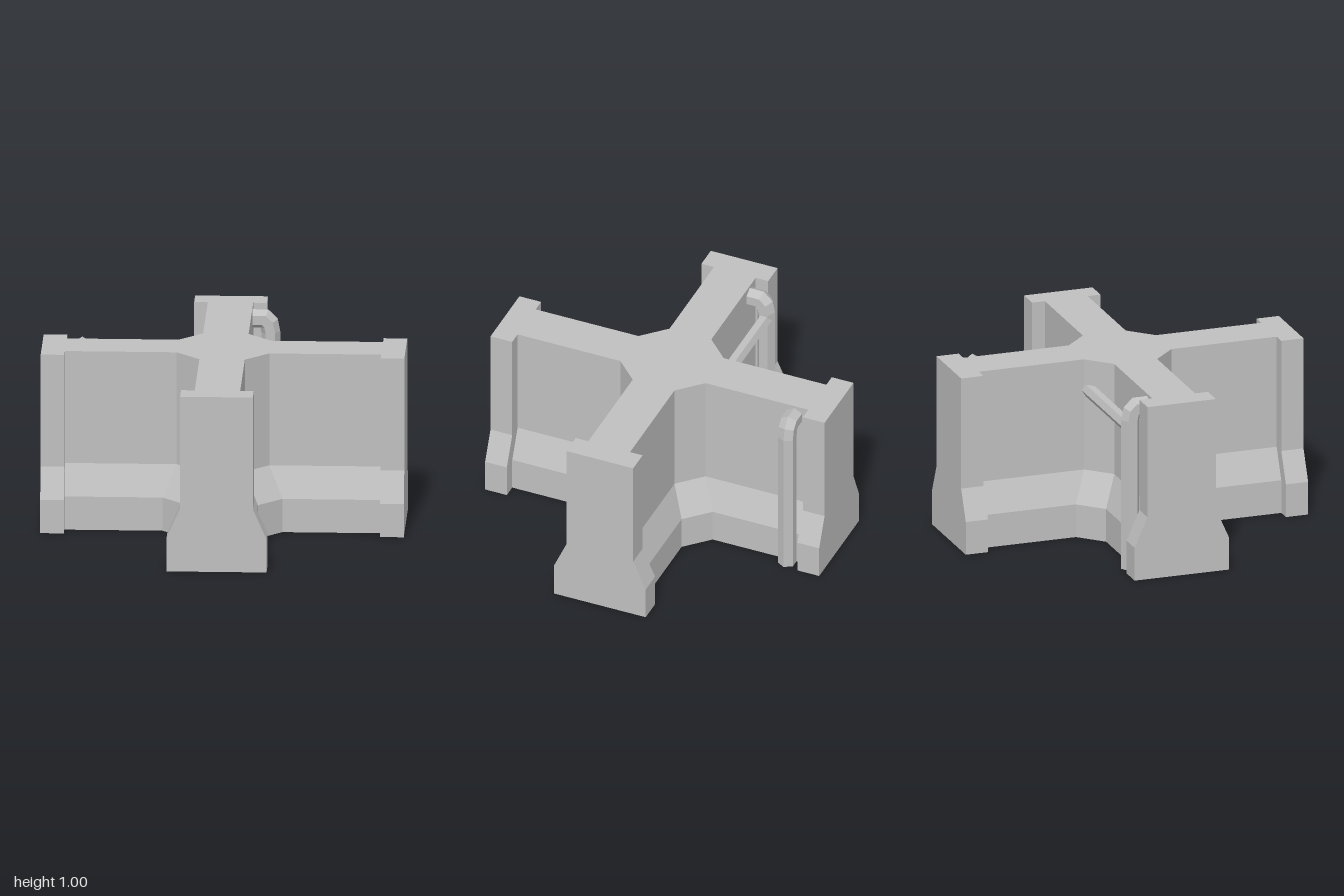
import * as THREE from 'three';

// Flat-shaded solid through matching rings; outline is the counter-clockwise section for the end caps
function loft(rings, outline) {
  const pts = [];
  const n = outline.length;
  for (let i = 0; i < rings.length - 1; i++) {
    for (let j = 0; j < n; j++) {
      const k = (j + 1) % n;
      const a = rings[i], b = rings[i + 1];
      pts.push(a[j], a[k], b[k], a[j], b[k], b[j]);
    }
  }
  const first = rings[0], last = rings[rings.length - 1];
  for (const [p, q, r] of THREE.ShapeUtils.triangulateShape(outline, [])) {
    pts.push(last[p], last[q], last[r], first[r], first[q], first[p]);
  }
  const geometry = new THREE.BufferGeometry().setFromPoints(pts);
  geometry.computeVertexNormals();
  return geometry;
}

// Cross-shaped plan: wall half width w, end post half width p, inner corner chamfer start c
function crossOutline(w, p, c) {
  const quarter = [[1, p], [0.87, p], [0.87, w], [c, w], [w, c], [w, 0.87], [p, 0.87], [p, 1]];
  const out = [];
  for (let q = 0; q < 4; q++) {
    for (const [x, y] of quarter) {
      out.push(new THREE.Vector2(x, y).rotateAround(new THREE.Vector2(), q * Math.PI / 2));
    }
  }
  return out;
}

// Hexagonal pipe leaving the wall along +x and bending down to the ground
function bentPipe(radius, z) {
  const path = [[0.1, 0.935], [0.19, 0.935], [0.215, 0.91], [0.225, 0.86], [0.225, 0]]
    .map(([x, y]) => new THREE.Vector2(x, y));
  const hex = [];
  for (let k = 0; k < 6; k++) {
    hex.push(new THREE.Vector2(Math.cos(k * Math.PI / 3), Math.sin(k * Math.PI / 3)).multiplyScalar(radius));
  }
  const normal = (a, b) => {
    const d = b.clone().sub(a).normalize();
    return new THREE.Vector2(-d.y, d.x);
  };
  const rings = path.map((p, i) => {
    const n0 = normal(path[Math.max(i - 1, 0)], path[Math.max(i, 1)]);
    const n1 = i < path.length - 1 ? normal(p, path[i + 1]) : n0;
    const m = n0.clone().add(n1).normalize();
    m.divideScalar(m.dot(n0)); // mitred joint
    return hex.map(h => new THREE.Vector3(p.x + m.x * h.x, p.y + m.y * h.x, z + h.y));
  });
  return loft(rings, hex);
}

export function createModel() {
  const model = new THREE.Group();
  model.name = 'crossWall';
  const concrete = new THREE.MeshStandardMaterial({ color: 0xc0c0c0, flatShading: true });
  concrete.name = 'concreteGrey';

  const add = (name, geometry) => {
    const mesh = new THREE.Mesh(geometry, concrete);
    mesh.name = name;
    model.add(mesh);
    return mesh;
  };

  // Cross-shaped wall with a flared foot: height, wall, post, chamfer
  const levels = [[0, 0.2, 0.275, 0.33], [0.19, 0.2, 0.275, 0.33], [0.36, 0.125, 0.2, 0.255], [1, 0.125, 0.2, 0.255]];
  const rings = levels.map(([y, w, p, c]) =>
    crossOutline(w, p, c).map(v => new THREE.Vector3(v.x, y, -v.y)));
  add('wall', loft(rings, crossOutline(0.125, 0.2, 0.255)));

  // Two downpipes, a quarter turn apart
  for (let i = 0; i < 2; i++) {
    add(i ? 'rightDownpipe' : 'backDownpipe', bentPipe(0.052, -0.787)).rotation.y = i * Math.PI / 2;
  }

  // Horizontal pipe from the right downpipe to the centre of the wall
  const crossPipe = add('horizontalPipe', new THREE.CylinderGeometry(0.039, 0.039, 0.68, 6));
  crossPipe.rotation.z = Math.PI / 2;
  crossPipe.position.set(-0.44, 0.82, -0.228);

  return model;
}
